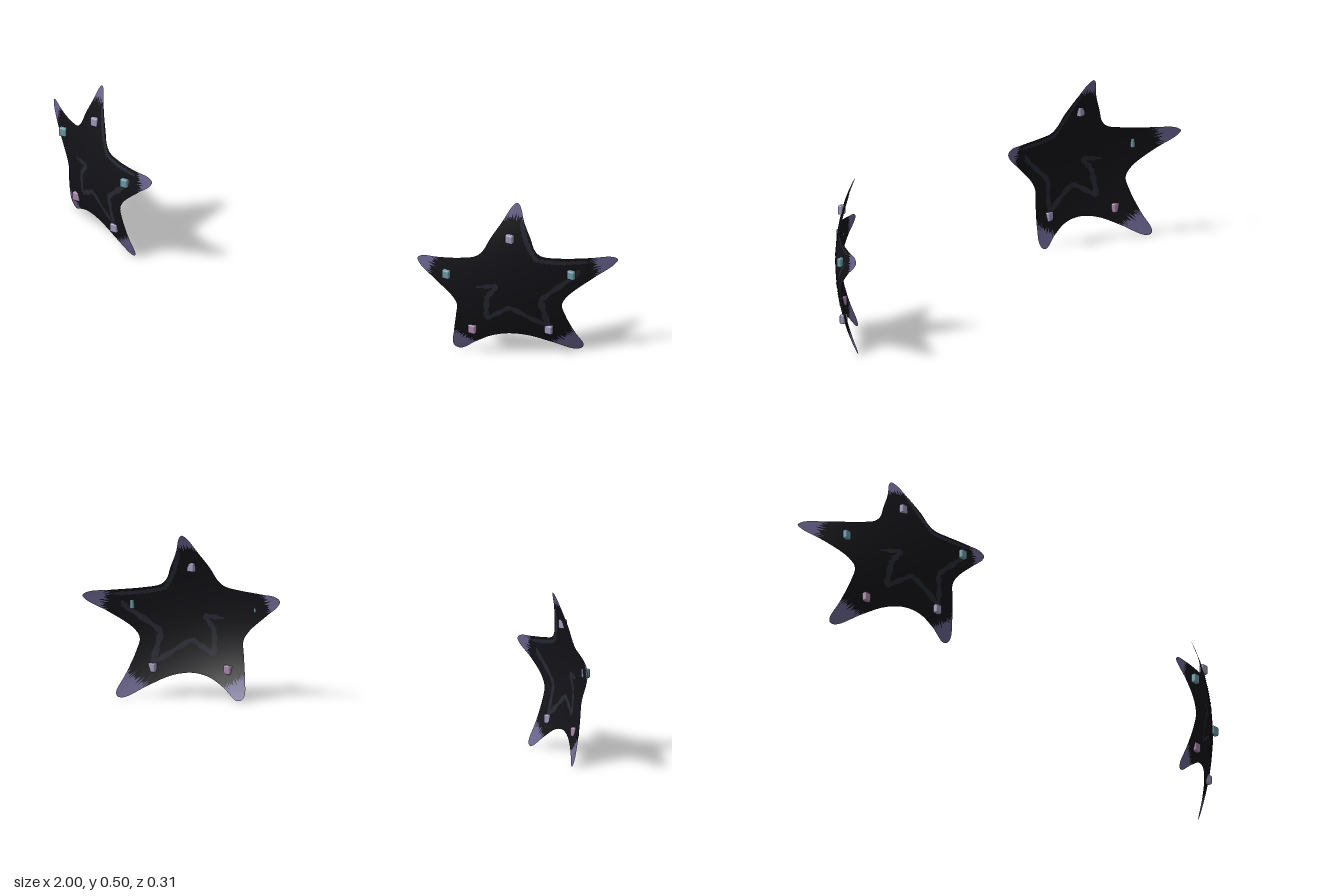
import * as THREE from 'three';
import { RoundedBoxGeometry } from 'three/addons/geometries/RoundedBoxGeometry.js';

const CENTER_X = 0.735, CENTER_Y = 0.24;
const paint = (color) => new THREE.MeshStandardMaterial({ color, side: THREE.DoubleSide });

// Dished surface that every star is bent over; side is +1 or -1
const bend = (u, v, side) => 0.067 - 0.572 * u * side - 0.95 * u * u - 0.97 * v * v;

// Right half of the star outline, clockwise from the top tip: [u, y]
const HALF = [
  [0, 0.507], [0.01, 0.498], [0.03, 0.45], [0.054, 0.4], [0.068, 0.365], [0.086, 0.346],
  [0.13, 0.336], [0.2, 0.329], [0.25, 0.325], [0.265, 0.314], [0.256, 0.297], [0.21, 0.26],
  [0.155, 0.21], [0.139, 0.18], [0.144, 0.14], [0.16, 0.07], [0.172, 0.02], [0.166, 0.005],
  [0.15, 0.003], [0.1, 0.038], [0.05, 0.067], [0, 0.077],
];

function starOutline() {
  const mirrored = HALF.slice(1, -1).reverse().map(([u, y]) => [-u, y]);
  const pts = [...HALF, ...mirrored].map(([u, y]) => new THREE.Vector3(u, y - CENTER_Y, 0));
  return new THREE.CatmullRomCurve3(pts, true, 'centripetal').getSpacedPoints(300).slice(0, -1);
}

function meshFrom(name, positions, index, color) {
  const geo = new THREE.BufferGeometry();
  geo.setAttribute('position', new THREE.Float32BufferAttribute(positions, 3));
  geo.setIndex(index);
  geo.computeVertexNormals();
  const mesh = new THREE.Mesh(geo, paint(color));
  mesh.name = name;
  return mesh;
}

// Polar patch of the star between two radii given per outline sample
function starPatch(name, outline, inner, outer, rings, side, color) {
  const pos = [], index = [], n = outline.length, row = rings + 1;
  outline.forEach((p, i) => {
    const r = p.length();
    for (let j = 0; j <= rings; j++) {
      const k = THREE.MathUtils.lerp(inner(r, i), outer(r, i), j / rings) / r;
      pos.push(p.x * k, p.y * k, bend(p.x * k, p.y * k, side));
    }
  });
  const empty = (i) => outer(outline[i].length(), i) - inner(outline[i].length(), i) < 1e-6;
  for (let i = 0; i < n; i++) {
    const next = (i + 1) % n;
    if (empty(i) && empty(next)) continue;
    for (let j = 0; j < rings; j++) {
      const a = i * row + j, d = next * row + j;
      index.push(a, d, d + 1, a, d + 1, a + 1);
    }
  }
  return meshFrom(name, pos, index, color);
}

// Brush-like stripe laid on the surface, offset to the front or back
function stripe(points, width, side, offset) {
  const curve = new THREE.CatmullRomCurve3(
    points.map(([u, y]) => new THREE.Vector3(u, y - CENTER_Y, 0)), false, 'catmullrom', 0.15);
  const pos = [], index = [], steps = 70;
  for (let i = 0; i <= steps; i++) {
    const p = curve.getPoint(i / steps), t = curve.getTangent(i / steps);
    const w = width * (0.8 + 0.25 * Math.sin(i * 1.9)) * Math.min(1, 0.15 + Math.min(i, steps - i) / 6);
    for (const s of [1, -1]) {
      const u = p.x - t.y * w * s, v = p.y + t.x * w * s;
      pos.push(u, v, bend(u, v, side) + offset);
    }
    if (i < steps) index.push(i * 2, i * 2 + 1, i * 2 + 3, i * 2, i * 2 + 3, i * 2 + 2);
  }
  return meshFrom('stripe', pos, index, 0x272932);
}

const STRIPES = [
  { width: 0.009, points: [[-0.08, 0.245], [-0.025, 0.25], [-0.05, 0.21], [-0.055, 0.135], [0.01, 0.175],
    [0.1, 0.105], [0.09, 0.2], [0.17, 0.275], [0.18, 0.295]] },
  { width: 0.007, points: [[0.02, 0.46], [0.045, 0.39], [0.075, 0.335], [0.13, 0.322], [0.2, 0.316]] },
];

// Stud position on the star; z given for side +1 position u
const STUDS = [
  { u: 0, y: 0.403, color: 0x9d97b8 },
  { u: 0.165, y: 0.283, color: 0x6d99a6 },
  { u: -0.165, y: 0.283, color: 0x6d99a6 },
  { u: -0.101, y: 0.09, color: 0xa886a8 },
  { u: 0.101, y: 0.09, color: 0x9d97b8 },
];

function createStar(side) {
  const star = new THREE.Group();
  star.name = side > 0 ? 'leftStar' : 'rightStar';
  star.position.set(CENTER_X * side, CENTER_Y, 0);
  const outline = starOutline();

  // Dark body and pale tips meet along a jagged line
  const cut = (r, i) => Math.min(r, 0.226 + (i % 2 ? 0.008 : -0.008) + 0.006 * Math.sin(i * 2.3));
  star.add(starPatch('starBody', outline, () => 0, cut, 14, side, 0x131318));
  star.add(starPatch('starTips', outline, cut, (r) => r, 4, side, 0x69658f));

  for (const { points, width } of STRIPES)
    for (const offset of [0.0015, -0.0015]) star.add(stripe(points, width, side, offset));

  const studGeo = new RoundedBoxGeometry(0.025, 0.028, 0.016, 2, 0.004);
  for (const { u, y, color } of STUDS) {
    const stud = new THREE.Mesh(studGeo, paint(color));
    stud.name = 'stud';
    const lift = Math.abs(u) > 0.15 ? 0.01 : 0.003;
    stud.position.set(u, y - CENTER_Y, bend(u, y - CENTER_Y, side) + lift);
    star.add(stud);
  }
  return star;
}

export function createModel() {
  const model = new THREE.Group();
  model.name = 'starPair';
  for (const side of [1, -1]) model.add(createStar(side));
  return model;
}
